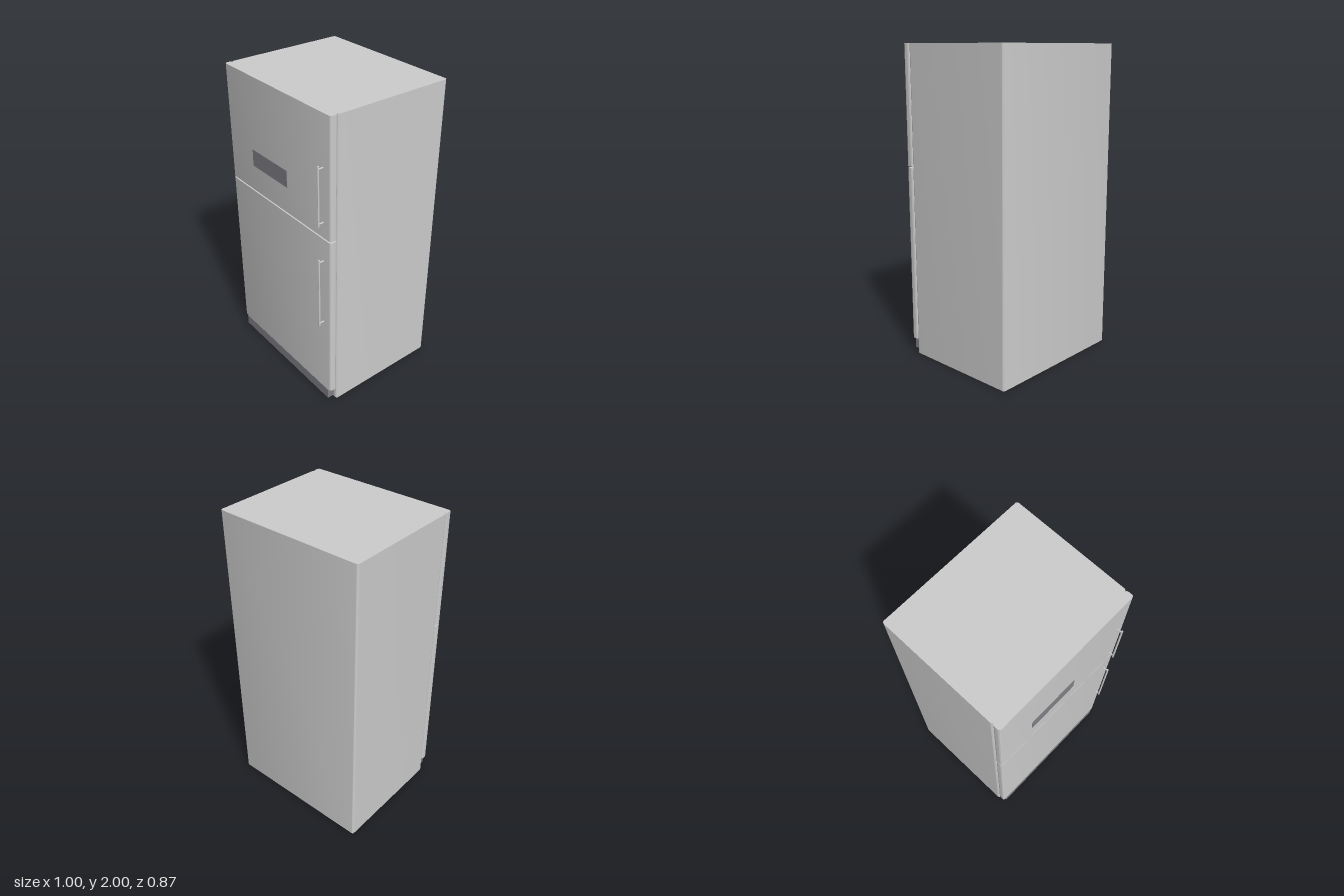
import * as THREE from 'three';
import { toCreasedNormals } from 'three/addons/utils/BufferGeometryUtils.js';

const grey = new THREE.MeshStandardMaterial({ color: 0xcccccc });
const dark = new THREE.MeshStandardMaterial({ color: 0x808086 });

function add(parent, name, geometry, material, x = 0, y = 0, z = 0) {
  const mesh = new THREE.Mesh(geometry, material);
  mesh.name = name;
  mesh.position.set(x, y, z);
  parent.add(mesh);
  return mesh;
}

// Upright slab with rounded vertical edges, spanning y0..y1 and z0..z1
function slab(parent, name, y0, y1, z0, z1, r = 0.015) {
  const w = 0.5, d = (z1 - z0) / 2;
  const s = new THREE.Shape();
  s.moveTo(w - r, -d);
  s.absarc(w - r, -d + r, r, -Math.PI / 2, 0);
  s.absarc(w - r, d - r, r, 0, Math.PI / 2);
  s.absarc(-w + r, d - r, r, Math.PI / 2, Math.PI);
  s.absarc(-w + r, -d + r, r, Math.PI, Math.PI * 1.5);
  s.closePath();
  const g = new THREE.ExtrudeGeometry(s, { depth: y1 - y0, bevelEnabled: false, curveSegments: 6 });
  g.rotateX(-Math.PI / 2);
  add(parent, name, toCreasedNormals(g, 0.6), grey, 0, y0, (z0 + z1) / 2);
}

// Vertical bar held off the door by two short posts
function handle(parent, name, y0, y1) {
  const group = new THREE.Group();
  group.name = name;
  const x = 0.436, z = 0.429;
  add(group, 'bar', new THREE.CylinderGeometry(0.006, 0.006, y1 - y0, 16), grey, x, (y0 + y1) / 2, z);
  for (const y of [y0 + 0.018, y1 - 0.018]) {
    const post = new THREE.CylinderGeometry(0.005, 0.005, z - 0.39, 12);
    post.rotateX(Math.PI / 2);
    add(group, 'post', post, grey, x, y, (z + 0.39) / 2);
  }
  parent.add(group);
}

export function createModel() {
  const model = new THREE.Group();
  model.name = 'refrigerator';

  // Cabinet and the two doors
  slab(model, 'cabinet', 0, 2, -0.437, 0.346);
  slab(model, 'fridgeDoor', 0.094, 1.238, 0.346, 0.396);
  slab(model, 'freezerDoor', 1.248, 2, 0.346, 0.396);

  // Door handles
  handle(model, 'fridgeHandle', 0.624, 1.108);
  handle(model, 'freezerHandle', 1.332, 1.708);

  // Display panel and kick plate
  add(model, 'displayPanel', new THREE.BoxGeometry(0.35, 0.11, 0.01), dark, -0.075, 1.475, 0.393);
  add(model, 'kickPlate', new THREE.BoxGeometry(0.95, 0.07, 0.052), dark, 0, 0.05, 0.37);

  return model;
}
